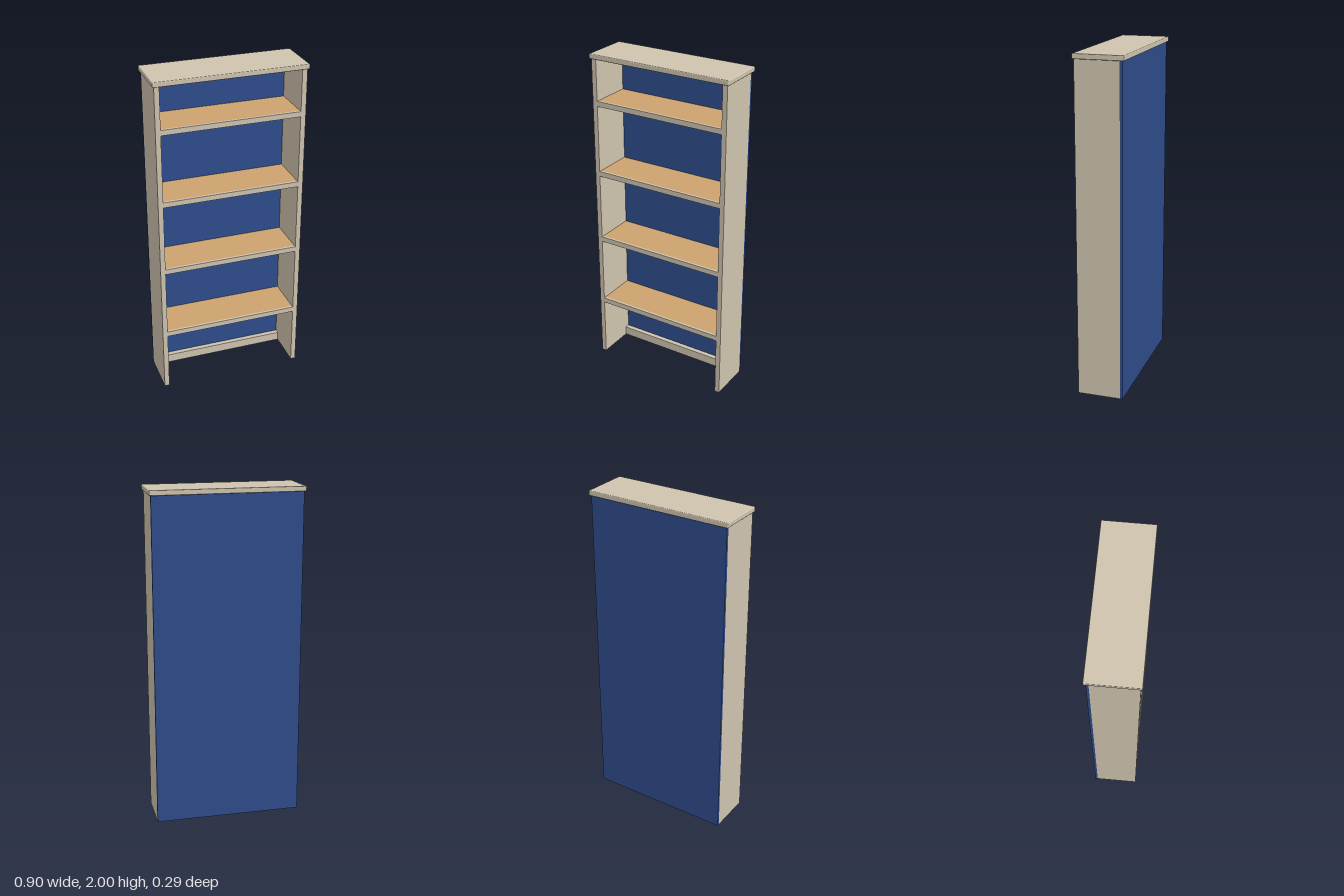
import * as THREE from 'three';
import { RoundedBoxGeometry } from 'three/addons/geometries/RoundedBoxGeometry.js';

const material = (name, color) => {
  const m = new THREE.MeshStandardMaterial({ color });
  m.name = name;
  return m;
};

export function createModel() {
  const group = new THREE.Group();
  group.name = 'bookcase';
  const cream = material('cream paint', 0xcfc4af);
  const blue = material('blue panel', 0x2e4c8b);
  const wood = material('light wood', 0xcda26f);

  const add = (name, geometry, mat, x, y, z) => {
    const mesh = new THREE.Mesh(geometry, mat);
    mesh.name = name;
    mesh.position.set(x, y, z);
    group.add(mesh);
  };
  // box given by its lower and upper limits on each axis
  const board = (name, mat, [x0, x1], [y0, y1], [z0, z1]) =>
    add(name, new THREE.BoxGeometry(x1 - x0, y1 - y0, z1 - z0), mat,
      (x0 + x1) / 2, (y0 + y1) / 2, (z0 + z1) / 2);

  // upright sides
  board('leftSide', cream, [0.41, 0.44], [0, 1.97], [-0.12, 0.138]);
  board('rightSide', cream, [-0.44, -0.41], [0, 1.97], [-0.12, 0.138]);

  // back panel and low rail in front of it
  board('backPanel', blue, [-0.44, 0.44], [0, 1.97], [-0.135, -0.12]);
  board('bottomRail', cream, [-0.41, 0.41], [0, 0.055], [-0.12, -0.09]);

  // overhanging top with softened edges
  add('topBoard', new RoundedBoxGeometry(0.9, 0.03, 0.294, 2, 0.005), cream, 0, 1.985, 0);

  // wooden shelves with a painted front lip
  for (let i = 0; i < 4; i++) {
    const y = 0.37 + i * 0.44;
    board('shelf', wood, [-0.41, 0.41], [y, y + 0.032], [-0.12, 0.122]);
    board('shelfLip', cream, [-0.41, 0.41], [y, y + 0.032], [0.122, 0.138]);
  }
  return group;
}
